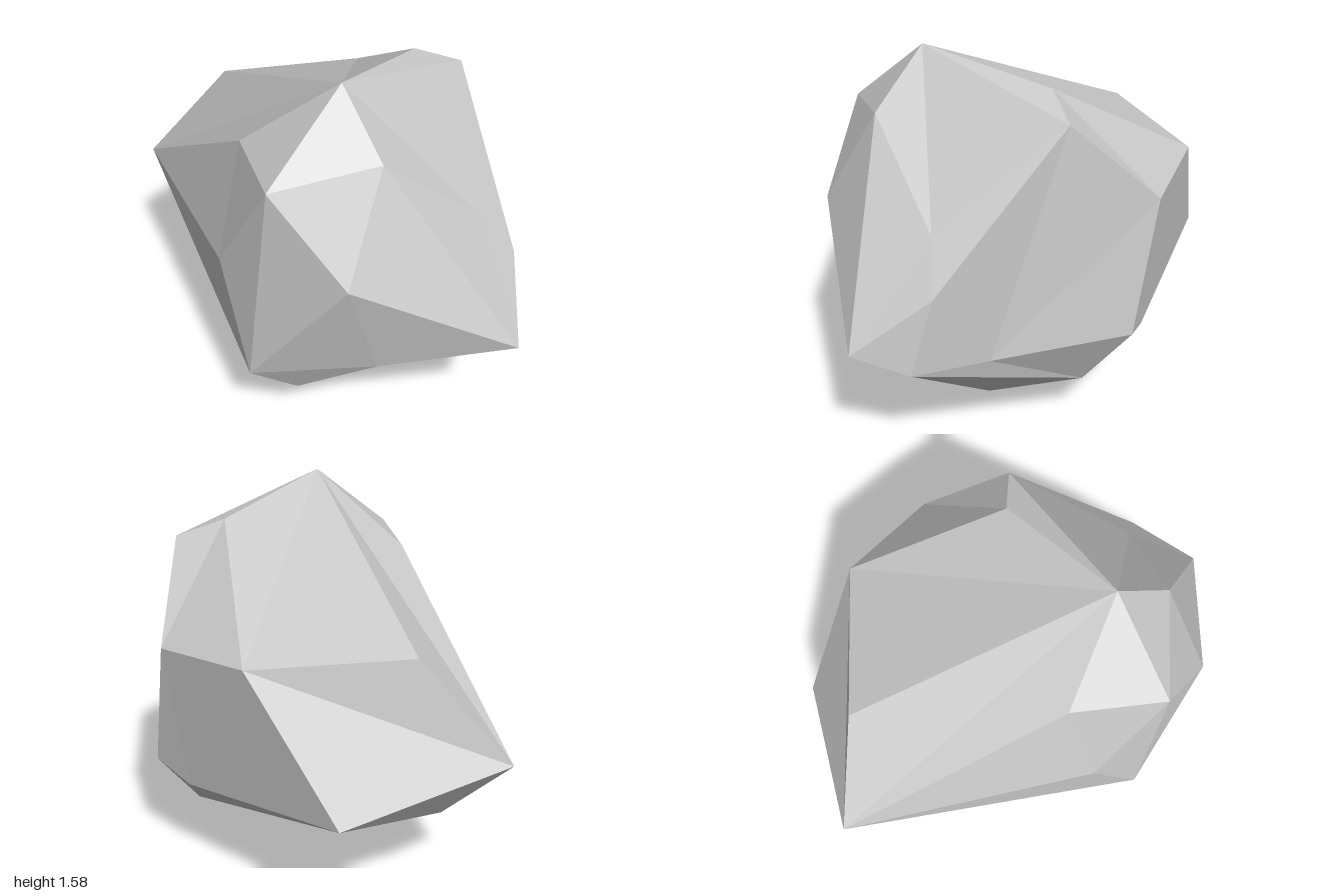
import * as THREE from 'three';

// Corners of the boulder, from the crown down to the foot
const corners = {
  // crown
  A: [-0.25, 1.58, 0.27], B: [0.29, 1.48, 0.17], C: [0.445, 1.41, 0.29],
  M: [-0.295, 1.36, 0.51], K: [-0.63, 1.29, 0.26], a: [-0.45, 1.286, -0.07],
  // shoulder
  V: [0.06, 1.14, -0.735], U: [0.595, 1.12, -0.4], D: [0.69, 1.08, 0.02],
  T: [0.1, 1.02, 0.67], L: [-0.54, 0.96, 0.57], O: [0.195, 0.84, 0.79], b: [-0.62, 0.83, -0.04],
  // waist
  W: [-0.2, 0.725, -1], N: [-0.04, 0.62, 1], X: [0.455, 0.585, -0.785],
  P: [0.145, 0.53, 0.87], E: [0.675, 0.525, 0.15], Q: [0.3, 0.5, 0.59],
  R: [-0.385, 0.495, 0.59], Y: [0.625, 0.465, -0.02], Z: [-0.07, 0.45, -0.77], J: [-0.69, 0.4, 0.18],
  // foot
  S: [0, 0.3, 0.585], I: [-0.525, 0.27, 0.28], F: [0.47, 0.24, 0.18],
  H: [-0.13, 0.05, 0], G: [0.02, 0, 0.23],
};

// Facets as fans: the first corner is joined to each following pair
const fans = [
  'TAMNOCA', 'MAKLN', // upper front
  'RNLJISN', 'SIGPN', // lower front
  'QPFEDCOP', 'NPO', 'PGF', // front left
  'UABDXWVA', 'ACB', 'BCD', 'YDEFXD', // left side
  'AVWaK', 'baWJKa', 'KJL', // back and right side
  'ZXFHJWX', 'HFGIJ', // underside
];

function facetGeometry() {
  const points = [];
  for (const [hub, ...rim] of fans) {
    for (let i = 0; i < rim.length - 1; i++) {
      for (const name of [hub, rim[i], rim[i + 1]]) points.push(new THREE.Vector3(...corners[name]));
    }
  }
  const geometry = new THREE.BufferGeometry().setFromPoints(points);
  geometry.computeVertexNormals(); // unshared corners give flat facets
  return geometry;
}

export function createModel() {
  const group = new THREE.Group();
  group.name = 'rock';

  const stoneGrey = new THREE.MeshStandardMaterial({ color: 0xc8c8c8 });
  stoneGrey.name = 'stoneGrey';

  const boulder = new THREE.Mesh(facetGeometry(), stoneGrey);
  boulder.name = 'boulder';
  group.add(boulder);

  return group;
}
